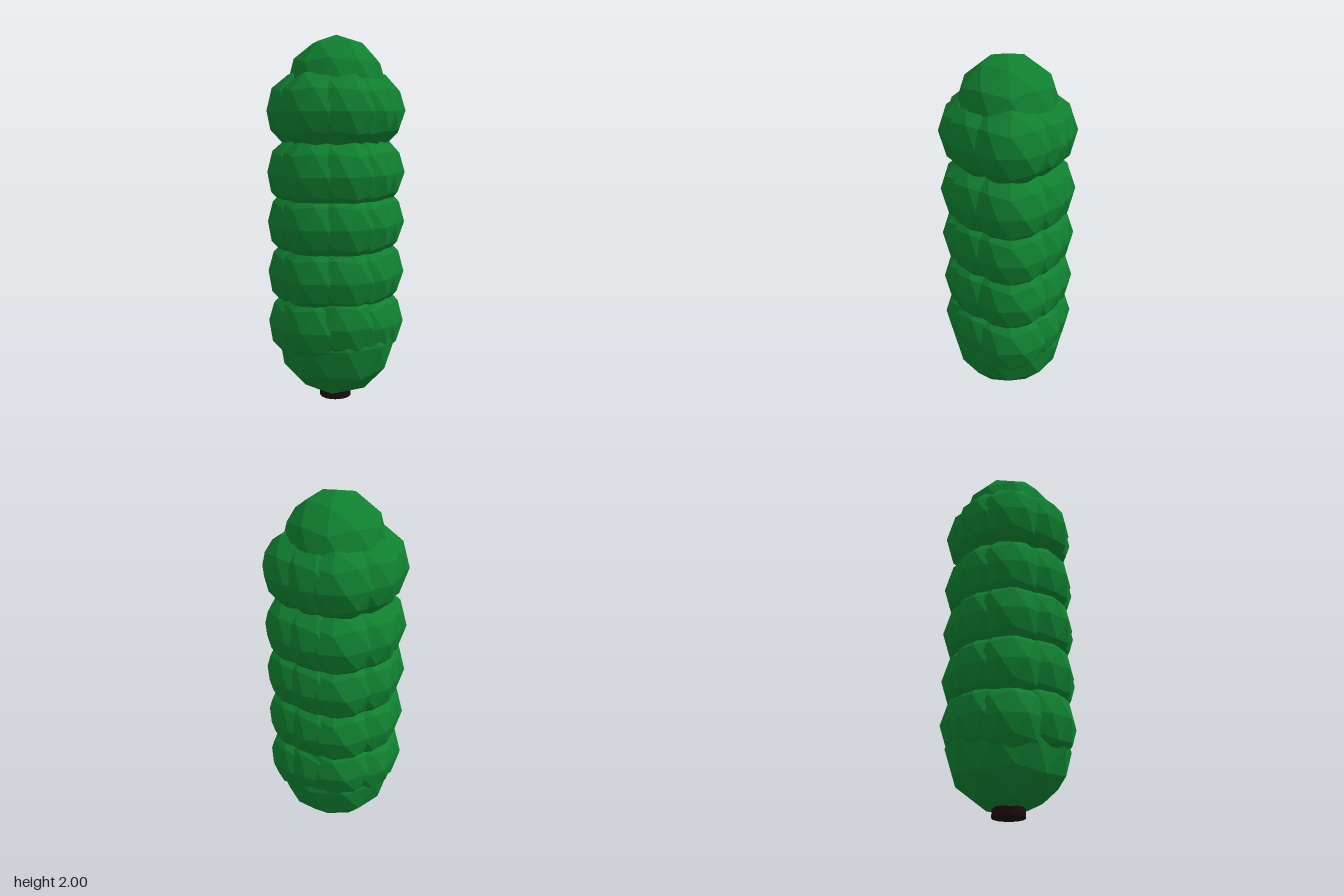
import * as THREE from 'three';

const leafMaterial = new THREE.MeshStandardMaterial({ color: 0x108030, flatShading: true });
const barkMaterial = new THREE.MeshStandardMaterial({ color: 0x1f0a0a, flatShading: true });

// Faceted ball with one corner straight up and an upper-ring corner towards +x
const ball = new THREE.IcosahedronGeometry(1, 1);
ball.rotateX(-Math.atan((1 + Math.sqrt(5)) / 2));
ball.rotateY(Math.PI / 2);

function clump(name, radius, x, y, z) {
  const mesh = new THREE.Mesh(ball, leafMaterial);
  mesh.name = name;
  mesh.scale.setScalar(radius);
  mesh.position.set(x, y, z);
  return mesh;
}

export function createModel() {
  const tree = new THREE.Group();
  tree.name = 'columnarTree';

  // Short trunk, mostly hidden in the foliage
  const trunk = new THREE.Mesh(new THREE.CylinderGeometry(0.087, 0.087, 0.2, 32), barkMaterial);
  trunk.name = 'trunk';
  trunk.position.set(-0.005, 0.1, 0);
  tree.add(trunk);

  // Rounded base and crown
  tree.add(clump('foliageBase', 0.33, 0, 0.345, 0));
  tree.add(clump('foliageCrown', 0.27, 0, 1.73, 0));

  // Eight overlapping clumps per ring, as [x, z]
  const spots = [
    [0.155, -0.01], [0.077, 0.095], [0, 0.134], [-0.107, 0.11],
    [-0.155, -0.01], [-0.107, -0.092], [0, -0.134], [0.077, -0.092],
  ];
  [0.45, 0.715, 0.995, 1.267, 1.6].forEach((y, level) => {
    const ring = new THREE.Group();
    ring.name = `foliageRing${level + 1}`;
    spots.forEach(([x, z], i) => {
      // The lowest ring is slightly uneven
      const shift = level === 0 ? [-0.02, 0, 0.02, 0][i % 4] : 0;
      ring.add(clump(`foliageClump${i + 1}`, 0.226, x, y + shift, z));
    });
    tree.add(ring);
  });

  return tree;
}
